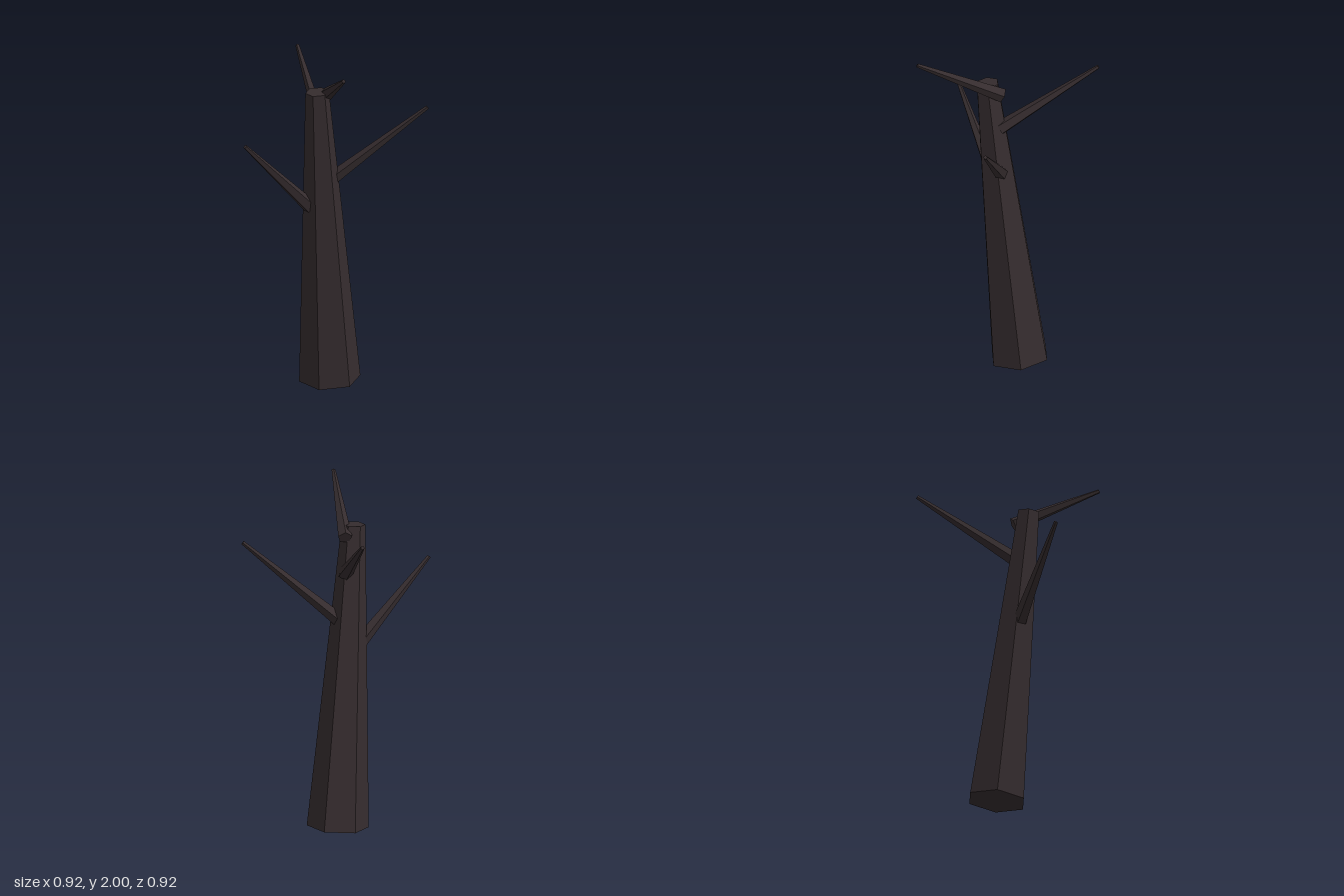
import * as THREE from 'three';

const bark = new THREE.MeshStandardMaterial({ color: 0x352c2e, flatShading: true });
const UP = new THREE.Vector3(0, 1, 0);

// Tapered, faceted limb running from one point to another
function limb(name, from, to, baseRadius, tipRadius, sides) {
  const start = new THREE.Vector3(...from);
  const end = new THREE.Vector3(...to);
  const axis = end.clone().sub(start);
  const geometry = new THREE.CylinderGeometry(tipRadius, baseRadius, axis.length(), sides);
  const mesh = new THREE.Mesh(geometry, bark);
  mesh.name = name;
  mesh.position.copy(start).add(end).multiplyScalar(0.5);
  mesh.quaternion.setFromUnitVectors(UP, axis.normalize());
  return mesh;
}

export function createModel() {
  const tree = new THREE.Group();
  tree.name = 'bareTree';

  // Leaning six-sided trunk
  tree.add(limb('trunk', [-0.125, 0.02, -0.107], [-0.125, 1.802, 0.102], 0.179, 0.069, 6));

  // Bare branches, each from its root in the trunk to its tip
  const branches = [
    ['topBranch', [-0.12, 1.75, 0.0], [0.153, 1.985, 0.412]],
    ['backBranch', [-0.115, 1.525, 0.015], [-0.45, 1.89, -0.45]],
    ['sideBranch', [-0.11, 1.225, 0.0], [0.447, 1.69, -0.18]],
    ['frontBranch', [-0.18, 1.1, 0.075], [-0.438, 1.54, 0.45]],
  ];
  for (const [name, from, to] of branches) {
    tree.add(limb(name, from, to, 0.043, 0.012, 5));
  }
  return tree;
}
